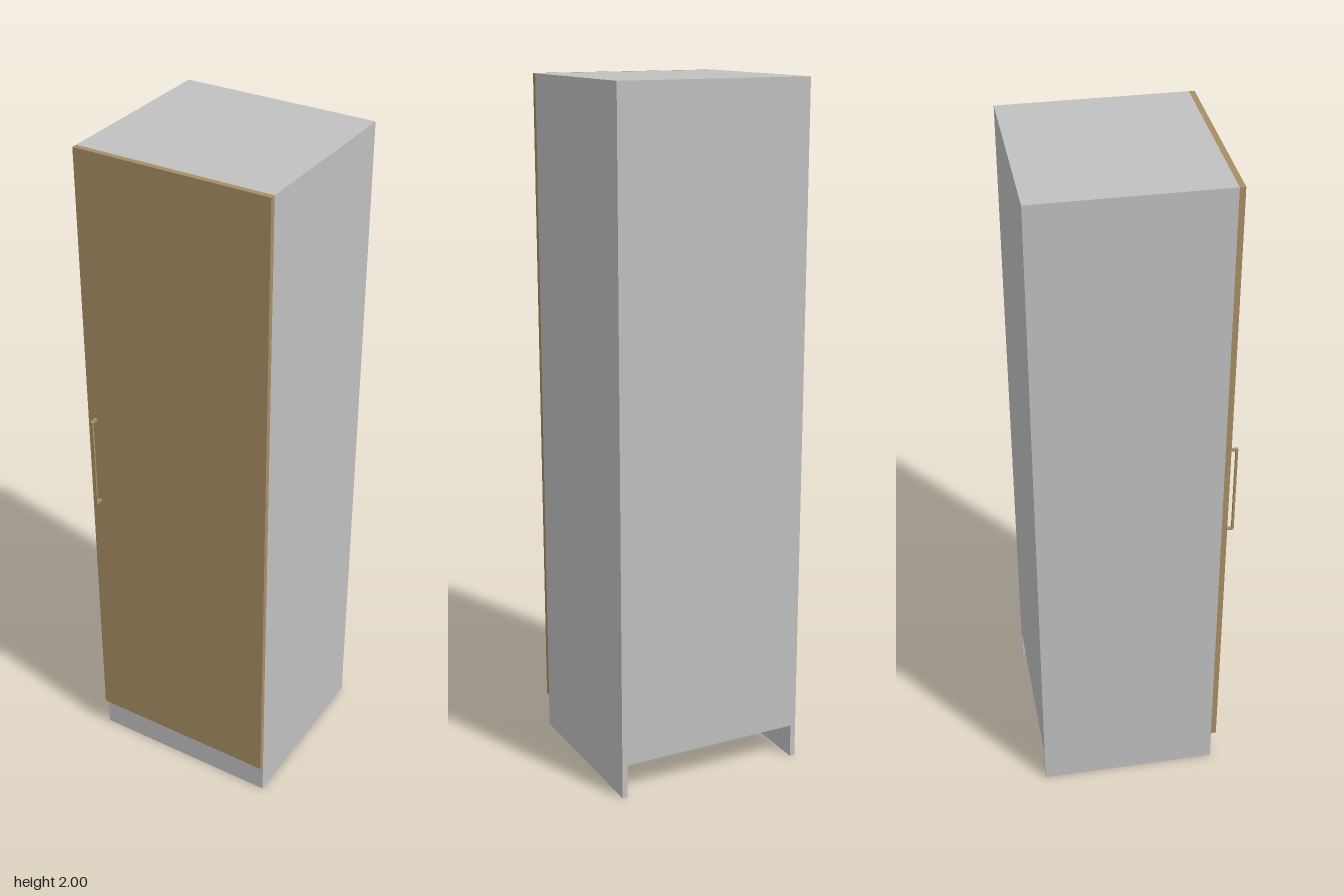
import * as THREE from 'three';

export function createModel() {
  const model = new THREE.Group();
  model.name = 'tallCabinet';

  const grey = new THREE.MeshStandardMaterial({ color: 0xc0c0c0 });
  grey.name = 'light grey panel';
  const wood = new THREE.MeshStandardMaterial({ color: 0xa78d64 });
  wood.name = 'tan wood';

  // Adds a box given by its lower and upper limits on each axis
  function panel(name, material, [x0, x1], [y0, y1], [z0, z1], parent = model) {
    const mesh = new THREE.Mesh(new THREE.BoxGeometry(x1 - x0, y1 - y0, z1 - z0), material);
    mesh.position.set((x0 + x1) / 2, (y0 + y1) / 2, (z0 + z1) / 2);
    mesh.name = name;
    parent.add(mesh);
  }

  const W = 0.288, T = 0.016;          // half width, board thickness
  const back = -0.285, front = 0.244;  // carcass depth limits
  const kick = 0.1, top = 2;           // plinth height, total height
  const inner = [-W + T, W - T];

  // Carcass: sides reach the floor, the back stops above it
  panel('leftSide', grey, [W - T, W], [0, top], [back, front]);
  panel('rightSide', grey, [-W, -W + T], [0, top], [back, front]);
  panel('topPanel', grey, inner, [top - T, top], [back, front]);
  panel('bottomPanel', grey, inner, [kick, kick + T], [back, front]);
  panel('backPanel', grey, inner, [kick + T, top - T], [back, back + T]);
  panel('plinth', grey, inner, [0, kick], [front - T, front]);

  // Door covering the whole front above the plinth
  panel('door', wood, [-W, W], [kick, top], [front, 0.26]);

  // Bar handle on two short posts
  const handle = new THREE.Group();
  handle.name = 'handle';
  model.add(handle);
  const hx = [-0.266, -0.257], h0 = 0.91, h1 = 1.195, t = 0.006;
  panel('handleBar', wood, hx, [h0, h1], [0.285 - t, 0.285], handle);
  for (const y of [h0, h1 - t]) panel('handlePost', wood, hx, [y, y + t], [0.26, 0.285 - t], handle);

  return model;
}
